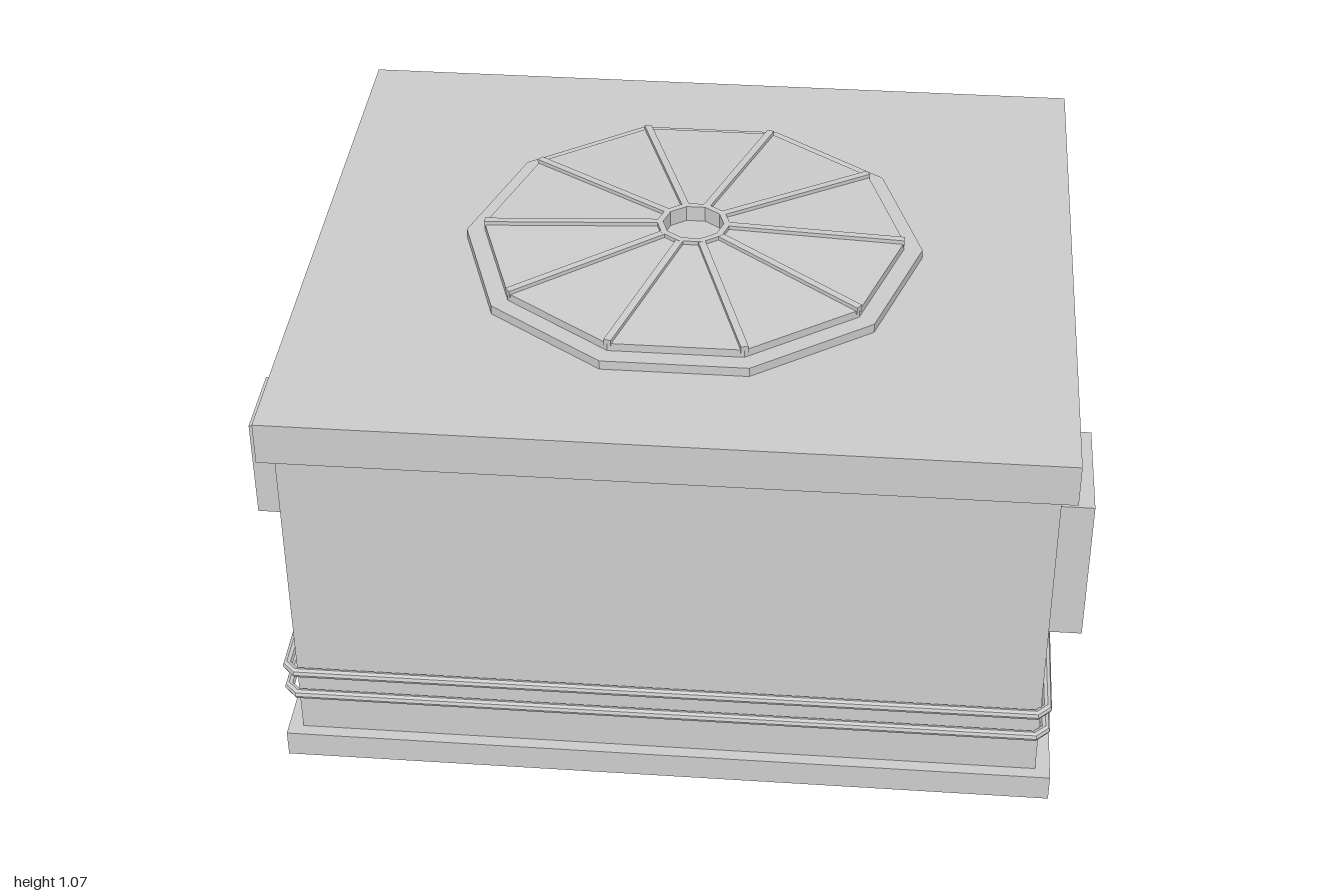
import * as THREE from 'three';

const material = new THREE.MeshStandardMaterial({ color: 0xcccccc, flatShading: true });
const CX = 0.015; // the cabinet sits slightly off centre between its two side boxes

// Polyline path whose samples fall exactly on its corners
class Polyline extends THREE.Curve {
  constructor(points) {
    super();
    this.points = points;
  }
  getPoint(t, target = new THREE.Vector3()) {
    const s = t * (this.points.length - 1);
    const i = Math.min(Math.floor(s + 1e-6), this.points.length - 2);
    return target.copy(this.points[i]).lerp(this.points[i + 1], s - i);
  }
  getPointAt(t, target) {
    return this.getPoint(t, target);
  }
  getTangentAt(t, target = new THREE.Vector3()) {
    const p = this.points, n = p.length - 1, i = Math.round(t * n);
    target.set(0, 0, 0);
    if (i > 0) target.add(p[i].clone().sub(p[i - 1]).normalize());
    if (i < n) target.add(p[i + 1].clone().sub(p[i]).normalize());
    return target.normalize();
  }
}

// Replace each inner corner by a short diagonal
function chamfer(points, size) {
  const out = [points[0]];
  for (let i = 1; i < points.length - 1; i++) {
    for (const other of [points[i - 1], points[i + 1]]) {
      const d = other.clone().sub(points[i]).setLength(size);
      out.push(points[i].clone().add(d));
    }
  }
  out.push(points[points.length - 1]);
  return out;
}

export function createModel() {
  const model = new THREE.Group();
  model.name = 'rooftopFanUnit';

  const add = (name, geometry, parent = model) => {
    const mesh = new THREE.Mesh(geometry, material);
    mesh.name = name;
    parent.add(mesh);
    return mesh;
  };
  // Box given by its extents on each axis
  const box = (name, [x0, x1], [y0, y1], [z0, z1]) =>
    add(name, new THREE.BoxGeometry(x1 - x0, y1 - y0, z1 - z0))
      .position.set((x0 + x1) / 2, (y0 + y1) / 2, (z0 + z1) / 2);

  // Cabinet
  box('base', [-0.907, 0.937], [0, 0.067], [-0.812, 0.812]);
  box('body', [-0.872, 0.902], [0.067, 0.892], [-0.782, 0.782]);
  box('lid', [-0.907, 0.937], [0.892, 0.997], [-0.812, 0.812]);

  // Side boxes
  box('leftBox', [0.902, 1], [0.302, 0.685], [0.255, 0.552]);
  box('rightBox', [-1, -0.888], [0.512, 0.768], [0.312, 0.512]);

  // Ten-sided fan cover with an open hub
  const fan = new THREE.Group();
  fan.name = 'fanCover';
  fan.position.set(CX, 0, 0);
  model.add(fan);
  const profile = [
    [0.558, 0.997], [0.558, 1.02], [0.513, 1.02], [0.513, 1.04], [0.09, 1.06],
    [0.09, 1.07], [0.074, 1.07], [0.074, 1.03], [0, 1.03],
  ].map(([r, y]) => new THREE.Vector2(r, y));
  add('fanPanels', new THREE.LatheGeometry(profile, 10, Math.PI / 2), fan);

  // Raised ribs following the slope of the panels
  const inner = 0.08, outer = 0.513, drop = 0.02;
  for (let i = 0; i < 10; i++) {
    const arm = new THREE.Group();
    arm.name = 'ribArm';
    arm.rotation.y = (i * Math.PI) / 5;
    const rib = add('rib', new THREE.BoxGeometry(outer - inner, 0.018, 0.018), arm);
    rib.position.set((inner + outer) / 2, 1.051, 0);
    rib.rotation.z = -Math.atan2(drop, outer - inner);
    fan.add(arm);
  }

  // Two pipes wrapped round the front, joining the side boxes
  for (const [name, y, zLeft, zRight] of [
    ['upperPipe', 0.254, 0.425, 0.43],
    ['lowerPipe', 0.187, 0.39, 0.395],
  ]) {
    const corners = [
      [0.917, 0.31, zLeft], [0.917, y, zLeft], [0.917, y, 0.798],
      [-0.897, y, 0.798], [-0.897, y, zRight], [-0.897, 0.53, zRight],
    ].map((p) => new THREE.Vector3(...p));
    const points = chamfer(corners, 0.025);
    add(name, new THREE.TubeGeometry(new Polyline(points), points.length - 1, 0.012, 8));
  }

  return model;
}
